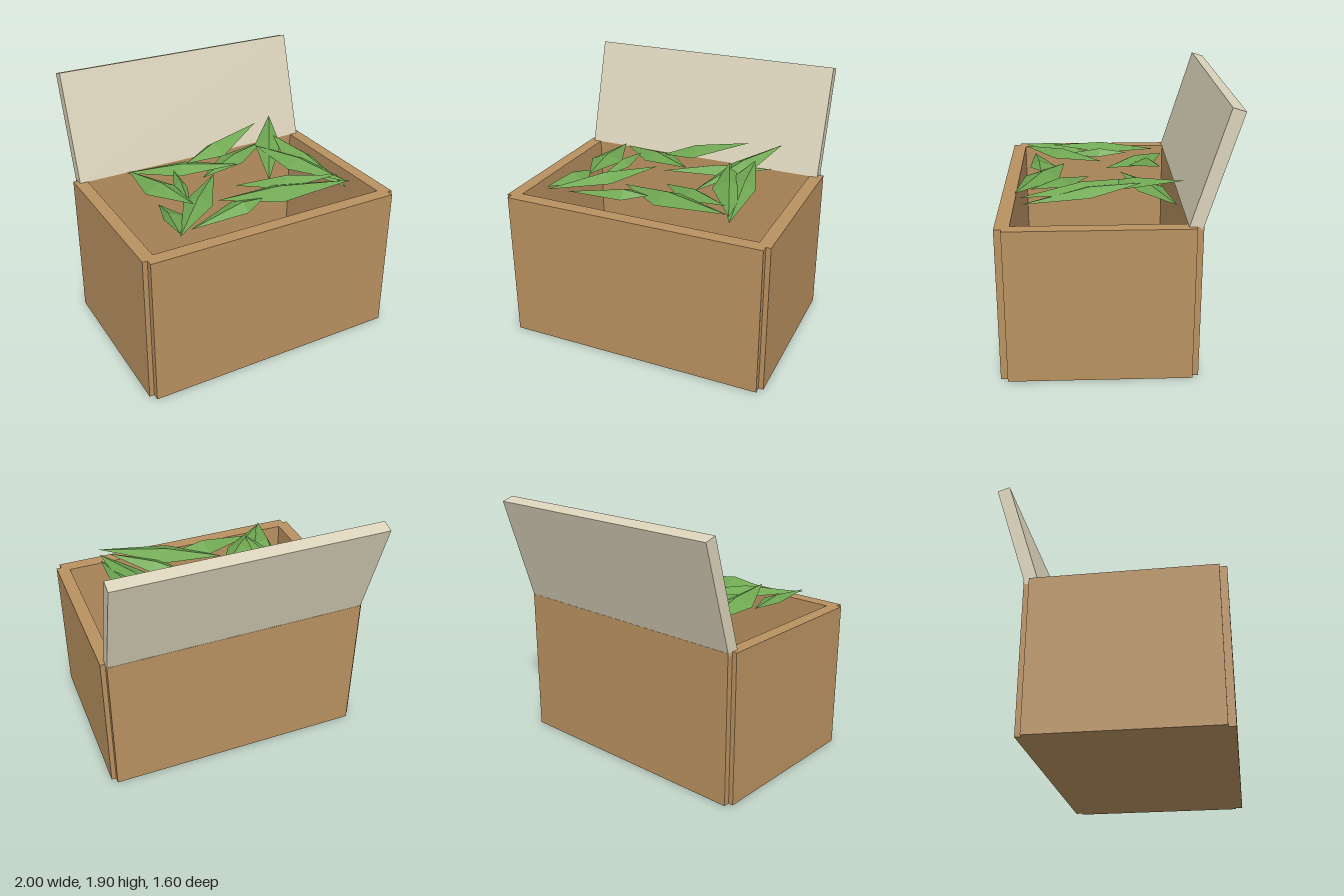
import * as THREE from 'three';

const material = (name, color, extra = {}) => {
  const m = new THREE.MeshStandardMaterial({ color, ...extra });
  m.name = name;
  return m;
};

// Each leaf: tip A (x,y,z), tip B (x,y,z), widest point along A-B, half width on each side
const LEAVES = [
  [-0.62, 1.13, -0.43, 0.11, 1.24, 0.05, 0.50, 0.10, 0.15],
  [0.61, 1.13, -0.43, -0.14, 1.13, -0.07, 0.50, 0.13, 0.08],
  [0.46, 1.36, -0.32, -0.20, 1.20, -0.22, 0.62, 0.08, 0.14],
  [0.68, 1.33, -0.46, 0.25, 1.16, 0.25, 0.45, 0.11, 0.09],
  [0.56, 1.28, -0.20, 0.67, 1.17, 0.64, 0.45, 0.17, 0.08],
  [0.37, 1.25, -0.16, 0.67, 1.22, 0.65, 0.48, 0.12, 0.12],
  [0.00, 1.14, 0.17, 0.62, 1.26, 0.58, 0.50, 0.11, 0.08],
  [-0.24, 1.17, 0.36, 0.67, 1.25, 0.68, 0.45, 0.14, 0.12],
  [0.03, 1.20, 0.53, -0.58, 1.15, 0.60, 0.30, 0.13, 0.07],
  [-0.12, 1.22, 0.07, -0.70, 1.18, 0.69, 0.48, 0.11, 0.10],
  [-0.61, 1.17, -0.37, -0.48, 1.25, 0.46, 0.52, 0.13, 0.11],
  [-0.35, 1.22, -0.13, -0.47, 1.17, 0.40, 0.40, 0.05, 0.05],
  [-0.62, 1.15, 0.18, -0.70, 1.20, 0.69, 0.45, 0.03, 0.13],
];

// Folded leaf: four flat facets meeting at a raised midpoint
function leafGeometry([ax, ay, az, bx, by, bz, t, wl, wr]) {
  const a = new THREE.Vector3(ax, ay, az);
  const b = new THREE.Vector3(bx, by, bz);
  const side = new THREE.Vector3(az - bz, 0, bx - ax).normalize();
  const mid = a.clone().lerp(b, t);
  const l = mid.clone().addScaledVector(side, wl);
  const r = mid.clone().addScaledVector(side, -wr);
  mid.y += 0.04;
  l.y -= 0.015;
  r.y -= 0.015;
  const g = new THREE.BufferGeometry().setFromPoints([a, l, mid, mid, l, b, a, mid, r, mid, b, r]);
  g.computeVertexNormals();
  return g;
}

export function createModel() {
  const model = new THREE.Group();
  const wood = material('wood brown', 0xb99160);
  const cream = material('lid cream', 0xdad2ba);
  const green = material('leaf green', 0x70a852, { side: THREE.DoubleSide, flatShading: true });

  // Block given by its lower and upper limits
  const block = (name, mat, x0, x1, y0, y1, z0, z1, parent = model) => {
    const mesh = new THREE.Mesh(new THREE.BoxGeometry(x1 - x0, y1 - y0, z1 - z0), mat);
    mesh.position.set((x0 + x1) / 2, (y0 + y1) / 2, (z0 + z1) / 2);
    mesh.name = name;
    parent.add(mesh);
    return mesh;
  };

  // Open crate
  const H = 1.11;
  block('frontPanel', wood, -0.965, 0.965, 0, H, 0.7, 0.8);
  block('backPanel', wood, -0.965, 0.965, 0, H, -0.565, -0.47);
  block('leftPanel', wood, 0.905, 1, 0, H, -0.52, 0.75);
  block('rightPanel', wood, -1, -0.905, 0, H, -0.52, 0.75);
  block('floor', wood, -0.92, 0.92, 0, 0.1, -0.48, 0.71);

  // Lid tilted back on the rear edge
  const lid = new THREE.Group();
  lid.name = 'lid';
  lid.position.set(0, H, -0.467);
  lid.rotation.x = -0.3;
  block('lidPanel', cream, -0.965, 0.965, 0, 0.827, -0.092, 0, lid);
  model.add(lid);

  // Ring of leaves above the opening
  const leaves = new THREE.Group();
  leaves.name = 'leaves';
  for (const data of LEAVES) {
    const leaf = new THREE.Mesh(leafGeometry(data), green);
    leaf.name = 'leaf';
    leaves.add(leaf);
  }
  model.add(leaves);

  return model;
}
